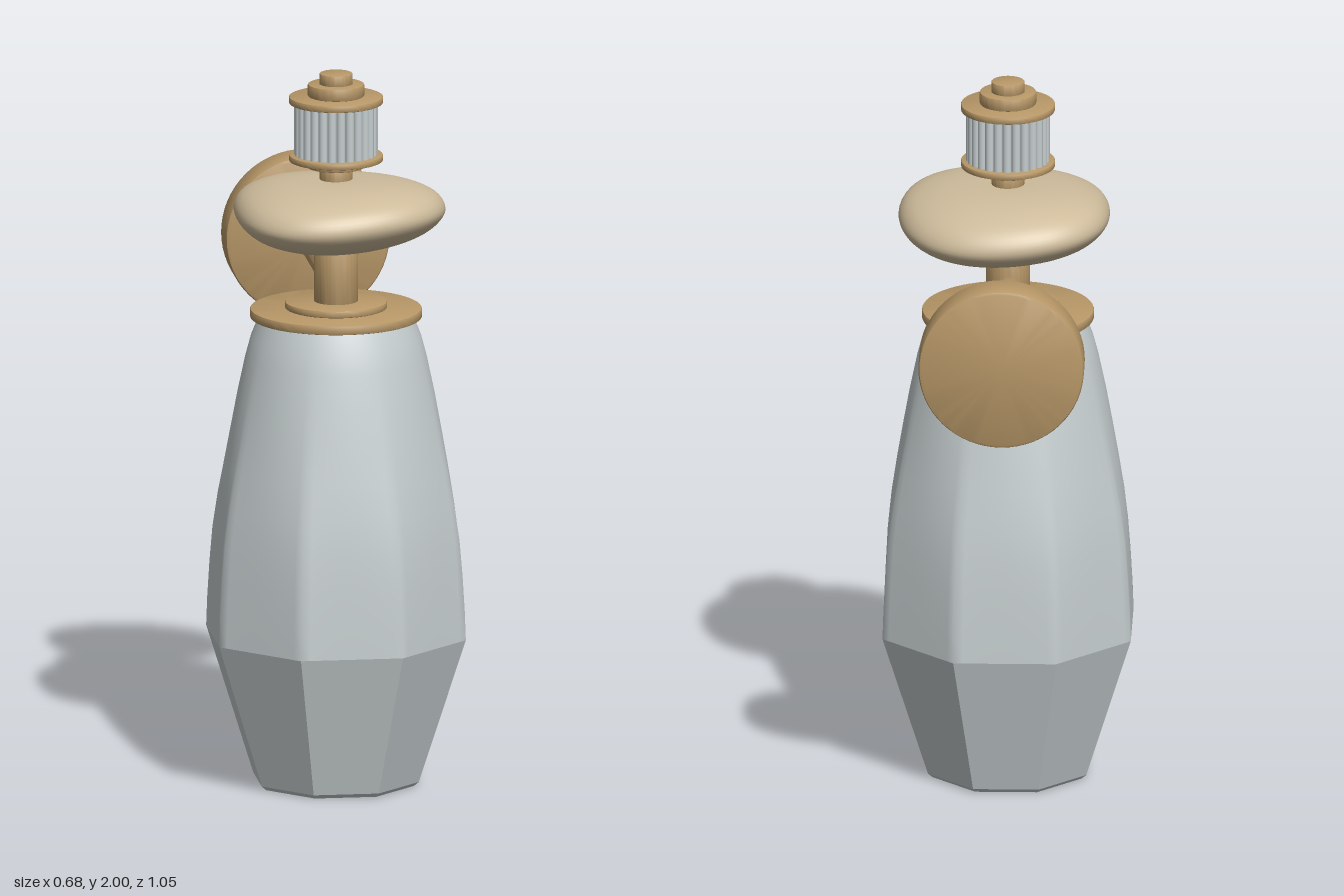
import * as THREE from 'three';
import { mergeVertices, toCreasedNormals } from 'three/addons/utils/BufferGeometryUtils.js';

const AXIS_Z = 0.18; // vertical axis of the lamp
const ARM_Y = 1.41;

export function createModel() {
  const model = new THREE.Group();
  model.name = 'wallLamp';
  const material = (name, color) => {
    const m = new THREE.MeshStandardMaterial({ color });
    m.name = name;
    return m;
  };
  const brass = material('brass', 0xb89868);
  const stone = material('stone', 0xcdbb9b);
  const glass = material('frostedGlass', 0xc6cecf);

  const lamp = new THREE.Group();
  lamp.name = 'lamp';
  lamp.position.z = AXIS_Z;
  model.add(lamp);

  const add = (parent, name, geometry, mat) => {
    const mesh = new THREE.Mesh(geometry, mat);
    mesh.name = name;
    parent.add(mesh);
    return mesh;
  };
  // Turned disc from y0 to y1 with a small bevel on both rims
  const disc = (r, y0, y1, bevel = 0.004) => {
    const profile = [[0, y0], [r - bevel, y0], [r - bevel * 0.3, y0 + bevel * 0.3], [r, y0 + bevel],
      [r, y1 - bevel], [r - bevel * 0.3, y1 - bevel * 0.3], [r - bevel, y1], [0, y1]];
    const g = new THREE.LatheGeometry(profile.map(p => new THREE.Vector2(...p)), 64);
    return toCreasedNormals(g, 0.6);
  };

  // Shade: round at the top, blending to an octagon at the widest line
  const rows = [[0.42, 0.342, 1], [0.5, 0.34, 0.97], [0.6, 0.336, 0.9], [0.7, 0.331, 0.78], [0.8, 0.321, 0.6],
    [0.9, 0.306, 0.42], [1.0, 0.289, 0.27], [1.1, 0.271, 0.15], [1.2, 0.25, 0.06], [1.26, 0.234, 0.02], [1.315, 0.212, 0]];
  const N = 96, pos = [], idx = [];
  rows.forEach(([y, a, blend], j) => {
    for (let i = 0; i < N; i++) {
      const t = i / N * Math.PI * 2;
      const phi = t - Math.round(t / (Math.PI / 4)) * (Math.PI / 4);
      const r = a * (1 + blend * (1 / Math.cos(phi) - 1));
      pos.push(Math.sin(t) * r, y, Math.cos(t) * r);
      if (j) {
        const k = (i + 1) % N, lo = (j - 1) * N, hi = j * N;
        idx.push(lo + i, lo + k, hi + i, lo + k, hi + k, hi + i);
      }
    }
  });
  const upper = new THREE.BufferGeometry();
  upper.setAttribute('position', new THREE.Float32BufferAttribute(pos, 3));
  upper.setIndex(idx);
  upper.computeVertexNormals();
  add(lamp, 'shadeUpper', upper, glass);

  // Faceted lower shade and its chamfered foot
  const octagon = (top, bottom, y0, y1, open) => {
    const c = Math.cos(Math.PI / 8);
    const g = new THREE.CylinderGeometry(top / c, bottom / c, y1 - y0, 8, 1, open, Math.PI / 8)
      .translate(0, (y0 + y1) / 2, 0).toNonIndexed();
    g.computeVertexNormals();
    return g;
  };
  add(lamp, 'shadeLower', octagon(0.342, 0.218, 0.012, 0.42, true), glass);
  add(lamp, 'shadeFoot', octagon(0.218, 0.205, 0, 0.012, false), glass);

  // Brass discs and stems stacked on the axis
  const stack = [
    ['shadeCap', 0.237, 1.312, 1.338], ['capStep', 0.141, 1.338, 1.358], ['mainStem', 0.061, 1.35, 1.53],
    ['upperStem', 0.045, 1.68, 1.74], ['lowerStep', 0.082, 1.735, 1.753], ['lowerFlange', 0.13, 1.753, 1.771],
    ['upperFlange', 0.13, 1.915, 1.935], ['upperStep', 0.078, 1.935, 1.97], ['finial', 0.046, 1.965, 2.0],
  ];
  for (const [name, r, y0, y1] of stack) add(lamp, name, disc(r, y0, y1), brass);

  // Ribbed collar: core with a ring of reeds
  const collar = new THREE.Group();
  collar.name = 'ribbedCollar';
  lamp.add(collar);
  add(collar, 'collarCore', new THREE.CylinderGeometry(0.104, 0.104, 0.146, 48).translate(0, 1.843, 0), glass);
  const reed = new THREE.CylinderGeometry(0.0125, 0.0125, 0.146, 12);
  for (let i = 0; i < 26; i++) {
    const t = i / 26 * Math.PI * 2;
    add(collar, 'reed', reed, glass).position.set(Math.sin(t) * 0.103, 1.843, Math.cos(t) * 0.103);
  }

  // Pebble: a lathe with a slightly uneven outline
  const section = [[0, 1.51], [0.11, 1.513], [0.2, 1.532], [0.265, 1.562], [0.297, 1.605],
    [0.272, 1.652], [0.2, 1.685], [0.1, 1.7], [0, 1.7]].map(p => new THREE.Vector2(...p));
  const curve = new THREE.SplineCurve(section).getPoints(40);
  curve.forEach(p => { p.x = Math.max(0, p.x); });
  curve[0].x = curve[40].x = 0;
  let pebble = new THREE.LatheGeometry(curve, 72);
  const p = pebble.attributes.position;
  for (let i = 0; i < p.count; i++) {
    const x = p.getX(i), z = p.getZ(i), t = Math.atan2(z, x), r = Math.hypot(x, z) / 0.3;
    const k = 1 + 0.02 * Math.cos(t) - 0.022 * Math.cos(4 * t + 0.35) * r + 0.015 * Math.cos(3 * t) * r
      - 0.018 * Math.sin(2 * t) * r;
    const lift = 0.012 * r * r * Math.sin(2 * t + 0.6) + 0.008 * r * r * Math.sin(t);
    p.setXYZ(i, x * k, p.getY(i) + lift, z * k);
  }
  pebble.deleteAttribute('uv');
  pebble.deleteAttribute('normal');
  pebble = mergeVertices(pebble, 1e-5);
  pebble.computeVertexNormals();
  add(lamp, 'pebble', pebble, stone);

  // Wall mount: turned parts laid along -z
  const mount = new THREE.Group();
  mount.name = 'wallMount';
  mount.position.y = ARM_Y;
  model.add(mount);
  const along = g => g.rotateX(-Math.PI / 2);
  add(mount, 'arm', along(disc(0.038, -0.16, 0.4)), brass);
  add(mount, 'armCollar', along(disc(0.053, 0.378, 0.42)), brass);
  add(mount, 'wallPlate', along(disc(0.228, 0.417, 0.528, 0.01)), brass).position.y = -0.01;
  add(mount, 'setScrew', disc(0.014, -0.246, -0.23, 0.003), brass).position.z = -0.472;

  return model;
}
